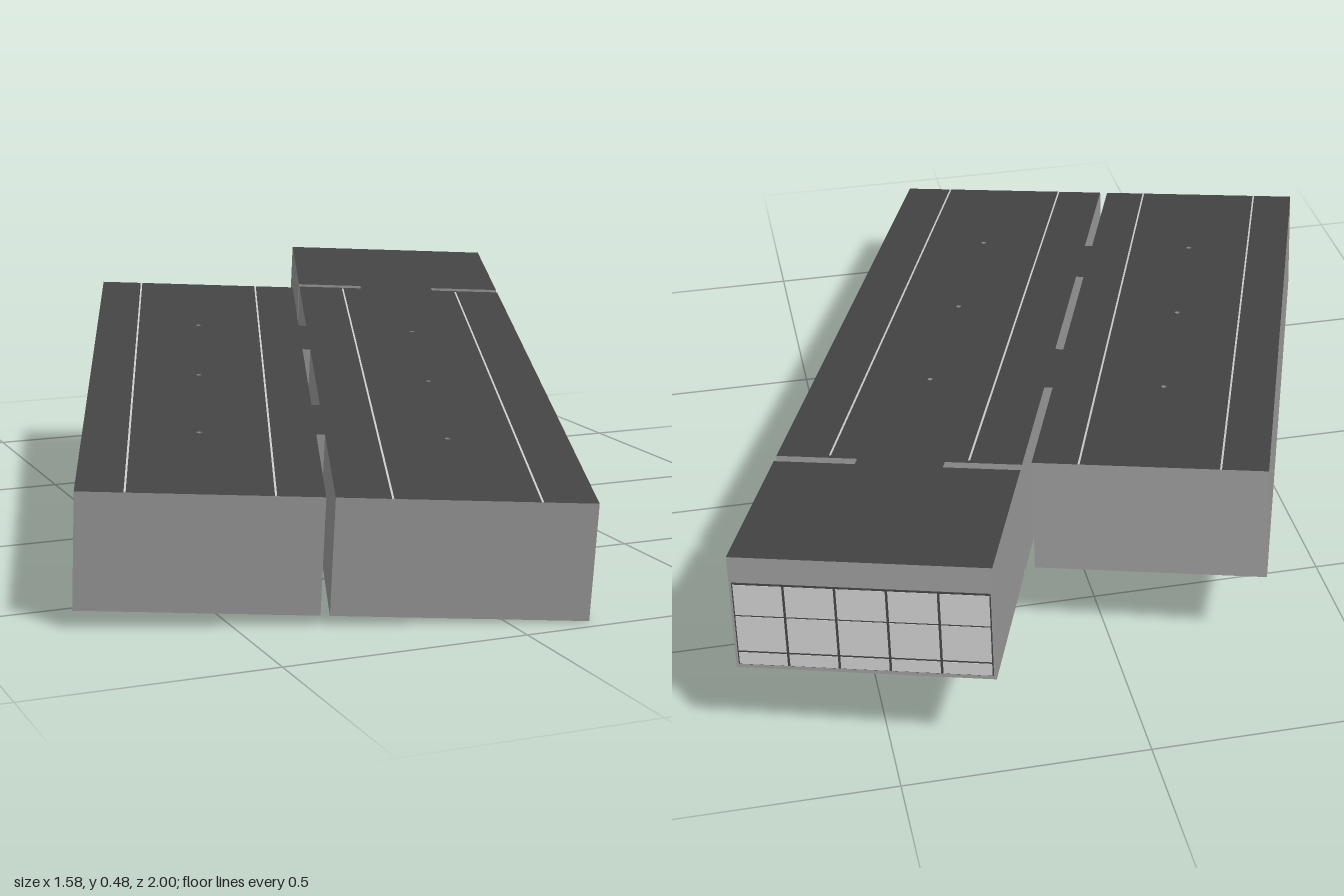
import * as THREE from 'three';

const T = 0.243;              // slab thickness
const W = 0.997, L = 1.926;   // overall width and length
const A = 0.475, B = 0.493;   // edges of the gap between the two bays
const BAY = 1.508;            // length of the bays

const mat = (color) => new THREE.MeshStandardMaterial({ color });

export function createModel() {
  const group = new THREE.Group();
  const dark = mat(0x444444), side = mat(0x999999), light = mat(0xcccccc), black = mat(0x0a0a0a);

  // Local axes: x across, y up, z towards the front; v is the distance back from the front edge
  const body = new THREE.Group();
  body.name = 'slabAssembly';
  const box = (name, w, h, d, x, y, v, material, parent = body) => {
    const m = new THREE.Mesh(new THREE.BoxGeometry(w, h, d), material);
    m.name = name;
    m.position.set(x, y, -v);
    parent.add(m);
    return m;
  };

  // Slab outline: two bays joined by bridges, and a rear block on a narrow neck
  const outline = [
    [0, 0], [A, 0], [A, 0.365], [B, 0.365], [B, 0], [W, 0],
    [W, 1.518], [0.83, 1.518], [0.83, 1.541], [W, 1.541],
    [W, L], [B, L], [B, 1.541], [0.65, 1.541], [0.65, 1.518],
    [B, 1.518], [B, 1.162], [A, 1.162], [A, BAY], [0, BAY],
  ].map(([x, y]) => new THREE.Vector2(x, y));
  const shape = new THREE.Shape(outline);

  // Middle slot between the bays
  shape.holes.push(new THREE.Path([[A, 0.558], [A, 0.968], [B, 0.968], [B, 0.558]]
    .map(([x, y]) => new THREE.Vector2(x, y))));

  // Small fixing holes, three along each bay
  for (const u of [0.237, 0.745]) {
    for (const v of [0.36, 0.75, 1.14]) {
      shape.holes.push(new THREE.Path().absarc(u, v, 0.006, 0, Math.PI * 2, true));
    }
  }
  const slabGeometry = new THREE.ExtrudeGeometry(shape, { depth: T, bevelEnabled: false, curveSegments: 6 });
  slabGeometry.rotateX(-Math.PI / 2);
  const slab = new THREE.Mesh(slabGeometry, [dark, side]);
  slab.name = 'slab';
  body.add(slab);

  // Seam lines along the top
  for (const u of [0.095, 0.38, 0.602, 0.888]) {
    box('topSeam', 0.004, 0.002, BAY, u, T, BAY / 2, light);
  }

  // Two louvred vents near the front of the outer side
  for (const v of [0.186, 0.452]) {
    const vent = new THREE.Group();
    vent.name = 'sideVent';
    body.add(vent);
    box('ventPanel', 0.002, 0.117, 0.113, W, T / 2 - 0.009, v, black, vent);
    for (let i = 0; i < 8; i++) {
      box('ventSlat', 0.004, 0.005, 0.113, W, T / 2 - 0.06 + i * 0.0146, v, black, vent);
    }
  }

  // Rear panel: a grid of shallow plates with thin dark joints
  const panel = new THREE.Group();
  panel.name = 'rearPanel';
  body.add(panel);
  const panelWidth = W - B - 0.01, cell = panelWidth / 5, mid = (B + W) / 2;
  box('panelBacking', panelWidth, 0.18, 0.002, mid, 0.098, L, dark, panel);
  const rows = [[0.022, 0.026], [0.077, 0.076], [0.151, 0.066]]; // centre height, height
  for (const [y, h] of rows) {
    for (let i = 0; i < 5; i++) {
      box('panelPlate', cell - 0.005, h, 0.004, mid + (i - 2) * cell, y, L, light, panel);
    }
  }

  // Set the whole slab at its turn and slope
  const zAxis = new THREE.Vector3(-0.329, -0.112, 0.938).normalize();
  const yAxis = zAxis.clone().cross(new THREE.Vector3(0.943, -0.04, 0.331)).normalize();
  const xAxis = yAxis.clone().cross(zAxis);
  body.quaternion.setFromRotationMatrix(new THREE.Matrix4().makeBasis(xAxis, yAxis, zAxis));
  body.position.set(-0.79, 0.042, 0.642);
  group.add(body);
  return group;
}
